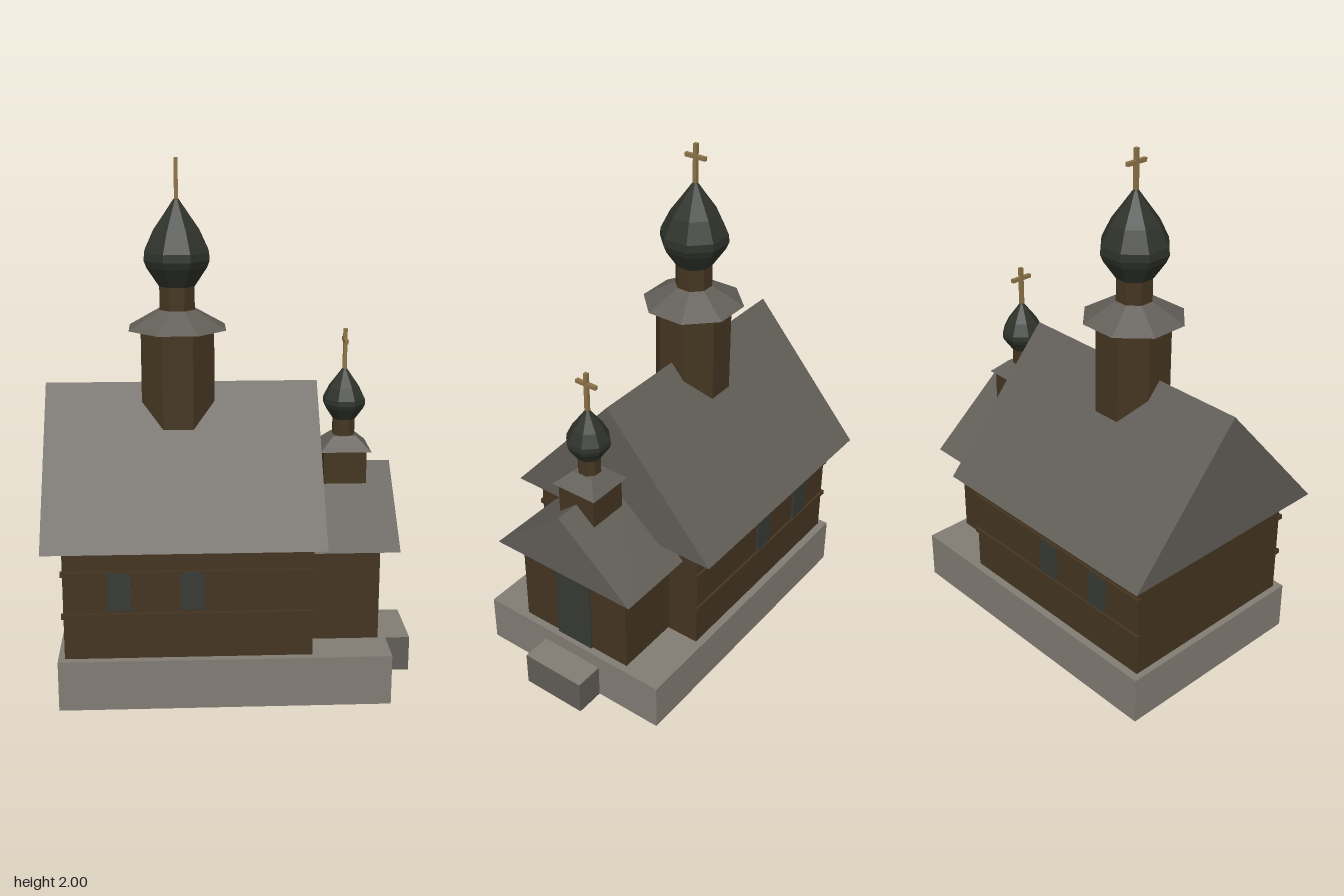
import * as THREE from 'three';

const mat = (name, color, side = THREE.FrontSide) =>
  Object.assign(new THREE.MeshStandardMaterial({ color, side }), { name });

export function createModel() {
  const model = new THREE.Group();
  model.name = 'woodenChapel';

  const stone = mat('paleStone', 0x827c74, THREE.DoubleSide);
  const slate = mat('greyRoof', 0x625e58, THREE.DoubleSide);
  const timber = mat('darkTimber', 0x443521);
  const glass = mat('darkPanel', 0x373a34);
  const domeGreen = mat('domeGreen', 0x2f332b);
  const brass = mat('brass', 0x8c7448);

  const add = (name, geometry, material, parent = model) => {
    const mesh = new THREE.Mesh(geometry, material);
    mesh.name = name;
    parent.add(mesh);
    return mesh;
  };

  // Box given by its limits on each axis
  const boxGeo = (x0, x1, y0, y1, z0, z1) =>
    new THREE.BoxGeometry(x1 - x0, y1 - y0, z1 - z0)
      .translate((x0 + x1) / 2, (y0 + y1) / 2, (z0 + z1) / 2);

  // Box without its underside; group 0 is the walls, group 1 the top
  const openBox = (...limits) => {
    const g = boxGeo(...limits);
    const index = Array.from(g.index.array);
    index.splice(18, 6);
    g.setIndex(index);
    g.clearGroups();
    g.addGroup(0, 12, 0);
    g.addGroup(12, 6, 1);
    g.addGroup(18, 12, 0);
    return g;
  };

  // Faceted turned shape; profile holds [distance to flat face, y], upwards
  const faceted = (profile, sides) => {
    const k = 1 / Math.cos(Math.PI / sides);
    const points = profile.map(([r, y]) => new THREE.Vector2(r * k, y));
    const g = new THREE.LatheGeometry(points, sides).rotateY(Math.PI / sides).toNonIndexed();
    g.computeVertexNormals();
    return g;
  };

  // Solid gable roof with its ridge along x
  const gable = (x0, x1, y0, y1, half) => {
    const s = new THREE.Shape([
      new THREE.Vector2(-half, y0), new THREE.Vector2(half, y0), new THREE.Vector2(0, y1),
    ]);
    return new THREE.ExtrudeGeometry(s, { depth: x1 - x0, bevelEnabled: false })
      .rotateY(Math.PI / 2).translate(x0, 0, 0);
  };

  // Foundation and entrance step
  add('foundation', openBox(-0.66, 0.585, 0, 0.195, -0.415, 0.415), [stone, stone]);
  add('entranceStep', openBox(0.585, 0.702, 0, 0.14, -0.135, 0.135), [slate, stone]);

  // Nave and porch
  add('naveWalls', boxGeo(-0.635, 0.288, 0.195, 0.636, -0.385, 0.385), timber);
  add('naveRoof', gable(-0.706, 0.33, 0.635, 1.16, 0.465), slate);
  add('porchWalls', boxGeo(0.28, 0.555, 0.195, 0.571, -0.25, 0.25), timber);
  add('porchRoof', gable(0.25, 0.62, 0.57, 0.835, 0.318), slate);
  add('door', boxGeo(0.555, 0.564, 0.195, 0.507, -0.082, 0.082), glass);

  // Wall rails and windows on both long sides
  for (const s of [-1, 1]) {
    const side = s > 0 ? 'front' : 'back';
    for (const y of [0.367, 0.531]) {
      const z = s * 0.386;
      add(side + 'Rail', boxGeo(-0.643, 0.293, y - 0.009, y + 0.009, z - 0.009, z + 0.009), timber);
    }
    for (const x of [-0.427, -0.16]) {
      const z = s * 0.393;
      add(side + 'Window', boxGeo(x - 0.044, x + 0.044, 0.388, 0.537, z - 0.0049, z + 0.0049), glass);
    }
  }

  // Onion dome with a cross, standing on a neck
  const dome = (parent, y0, y1, scale, crossTop, barY, neckBase, neckHalf) => {
    add('neck', faceted([[neckHalf, neckBase], [neckHalf, y0 + 0.002]], 8), timber, parent);
    const h = y1 - y0;
    const profile = [
      [0, 0], [0.066, 0], [0.112, 0.22], [0.122, 0.3], [0.12, 0.39],
      [0.086, 0.62], [0.042, 0.82], [0.012, 0.96], [0, 1],
    ];
    add('onionDome', faceted(profile.map(([r, t]) => [r * scale, y0 + t * h]), 8), domeGreen, parent);
    add('crossPost', boxGeo(-0.0075, 0.0075, y1 - 0.02, crossTop, -0.0075, 0.0075), brass, parent);
    add('crossBar', boxGeo(-0.007, 0.007, barY - 0.0075, barY + 0.0075, -0.045, 0.045), brass, parent);
  };

  // Main octagonal tower
  const tower = new THREE.Group();
  tower.name = 'mainTower';
  tower.position.x = -0.203;
  model.add(tower);
  add('towerWalls', faceted([[0.1375, 0.95], [0.1375, 1.372]], 8), timber, tower);
  add('towerSkirtRoof', faceted([[0, 1.37], [0.182, 1.37], [0.066, 1.442], [0, 1.442]], 8), slate, tower);
  dome(tower, 1.53, 1.86, 1, 2, 1.95, 1.44, 0.066);

  // Small square belfry above the porch
  const belfry = new THREE.Group();
  belfry.name = 'porchBelfry';
  belfry.position.x = 0.437;
  model.add(belfry);
  add('belfryWalls', faceted([[0.082, 0.74], [0.082, 0.899]], 4), timber, belfry);
  add('belfrySkirtRoof',
    faceted([[0, 0.896], [0.098, 0.896], [0.08, 0.912], [0.045, 0.946], [0, 0.946]], 4), slate, belfry);
  dome(belfry, 1.01, 1.215, 0.64, 1.36, 1.315, 0.945, 0.041);

  return model;
}
